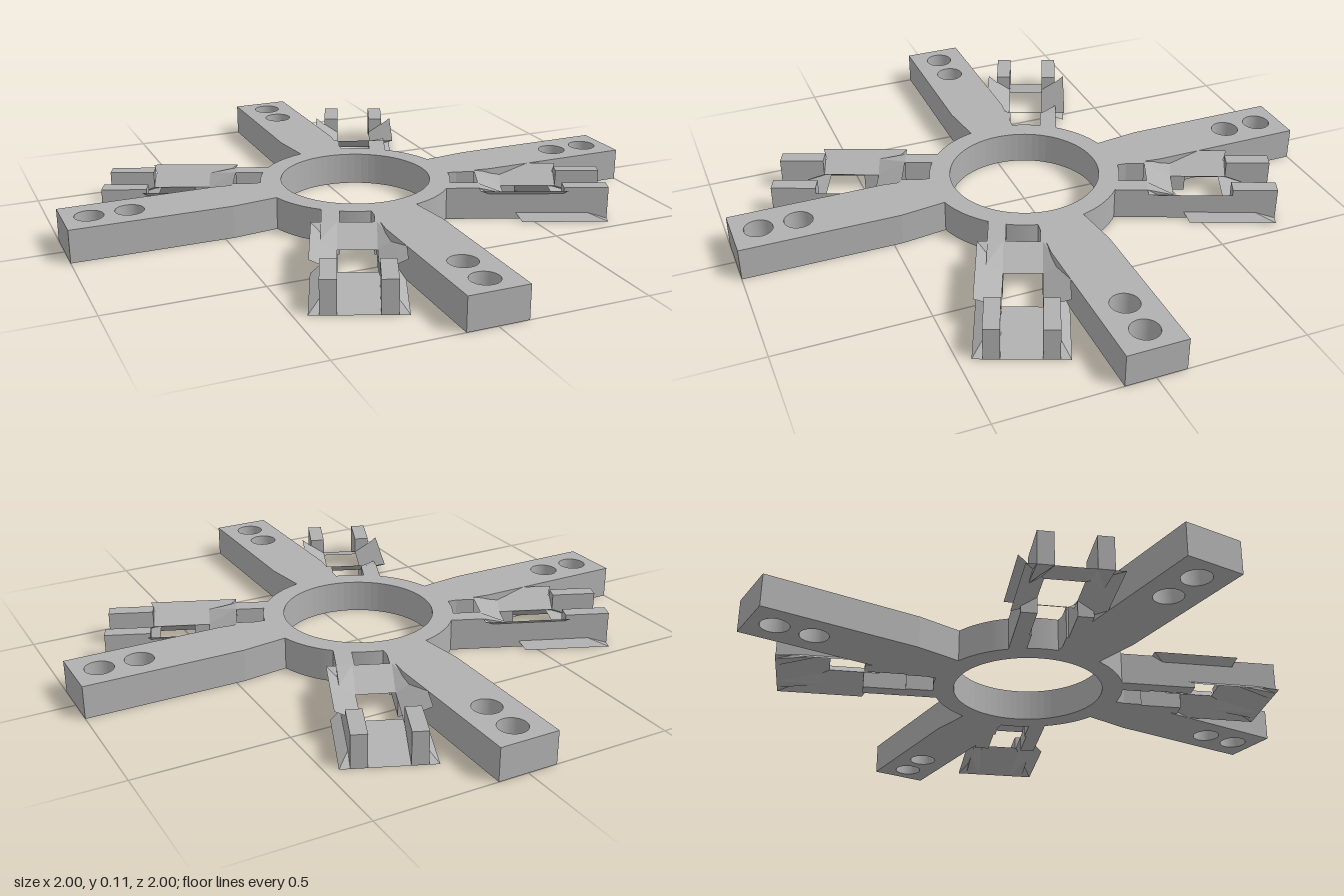
import * as THREE from 'three';
import { ConvexGeometry } from 'three/addons/geometries/ConvexGeometry.js';

const H = 0.11; // plate thickness
const MID = 0.055; // height of the pocket waist

export function createModel() {
  const grey = new THREE.MeshStandardMaterial({ color: 0xb0b0b0, side: THREE.DoubleSide });
  grey.name = 'light grey';
  const group = new THREE.Group();
  const add = (parent, geometry, name) => {
    const mesh = new THREE.Mesh(geometry, grey);
    mesh.name = name;
    parent.add(mesh);
  };

  // Hub ring and four tapered arms as one drilled plate
  const outline = new THREE.Shape();
  const holes = [];
  const hole = (x, y, r) => holes.push(new THREE.Path().absarc(x, y, r, 0, Math.PI * 2, true));
  const ringR = 0.325;
  const rootHalf = 0.08;
  const rootAngle = Math.asin(rootHalf / ringR);
  const root = Math.cos(rootAngle) * ringR;
  hole(0, 0, 0.255);
  for (let k = 0; k < 4; k++) {
    const a = k * Math.PI / 2;
    const c = Math.round(Math.cos(a)), s = Math.round(Math.sin(a));
    [[root, -rootHalf], [0.47, -0.1], [1, -0.1], [1, 0.1], [0.47, 0.1], [root, rootHalf]].forEach(([u, v], i) => {
      const x = u * c - v * s, y = u * s + v * c;
      if (k === 0 && i === 0) outline.moveTo(x, y);
      else outline.lineTo(x, y);
    });
    outline.absarc(0, 0, ringR, a + rootAngle, a + Math.PI / 2 - rootAngle, false);
    for (const r of [0.785, 0.915]) hole(r * c, r * s, 0.047);
  }
  outline.holes = holes;
  const plate = new THREE.ExtrudeGeometry(outline, { depth: H, bevelEnabled: false, curveSegments: 32 });
  plate.rotateX(-Math.PI / 2);
  add(group, plate, 'hubAndArms');

  // Solid between two cross-sections, each a list of [v, y]
  const loft = (u0, section0, u1, section1, side) => new ConvexGeometry([
    ...section0.map(([v, y]) => new THREE.Vector3(u0, y, v * side)),
    ...section1.map(([v, y]) => new THREE.Vector3(u1, y, v * side)),
  ]);
  // Thin four-cornered flap
  const flap = (...corners) => {
    const g = new THREE.BufferGeometry();
    g.setAttribute('position', new THREE.Float32BufferAttribute(
      [0, 1, 2, 0, 2, 3].flatMap((i) => corners[i]), 3));
    g.computeVertexNormals();
    return g;
  };

  const IN = 0.062, OUT = 0.113, LIP = 0.145; // rail faces and flap edge
  const HI = 0.089, LO = 0.021; // flap heights at the rail's outer face
  const full = [[IN, 0], [OUT, 0], [OUT, H], [IN, H]];
  const underFlap = [[IN, 0], [OUT, 0], [OUT, HI], [IN, MID]];
  const wedge = [[IN, MID], [OUT, LO], [OUT, HI]];
  const overFlap = [[IN, MID], [OUT, LO], [OUT, H], [IN, H]];
  const near = 0.51, far = 0.675; // ends of the pocket waist

  for (let k = 0; k < 4; k++) {
    const bracket = new THREE.Group();
    bracket.name = 'bracket' + (k + 1);
    bracket.rotation.y = -Math.PI / 8 + k * Math.PI / 2;
    for (const side of [1, -1]) {
      // Rail from the ring, cut away along the pocket, ending in a post
      const inner = full.map(([v, y]) => [v === IN ? 0.055 : v, y]);
      add(bracket, loft(0.3, inner, 0.415, inner, side), 'railRoot');
      add(bracket, loft(0.415, full, near, underFlap, side), 'railSlope');
      add(bracket, loft(near, underFlap, 0.56, underFlap, side), 'railShoulder');
      add(bracket, loft(0.56, wedge, 0.7, wedge, side), 'railWedge');
      add(bracket, loft(0.7, overFlap, 0.85, full, side), 'endPost');
      // Side flaps flaring up and down
      add(bracket, flap([0.415, H, LIP * side], [0.71, H, LIP * side],
        [far, MID, IN * side], [near, MID, IN * side]), 'upperSideFlap');
      add(bracket, flap([0.56, 0, LIP * side], [0.85, 0, LIP * side],
        [far, MID, IN * side], [near, MID, IN * side]), 'lowerSideFlap');
    }
    // Sloping end flaps
    add(bracket, flap([0.415, H, -LIP], [0.415, H, LIP], [near, MID, IN], [near, MID, -IN]), 'upperInnerFlap');
    add(bracket, flap([0.85, 0, -LIP], [0.85, 0, LIP], [far, MID, IN], [far, MID, -IN]), 'lowerOuterFlap');
    group.add(bracket);
  }
  return group;
}
